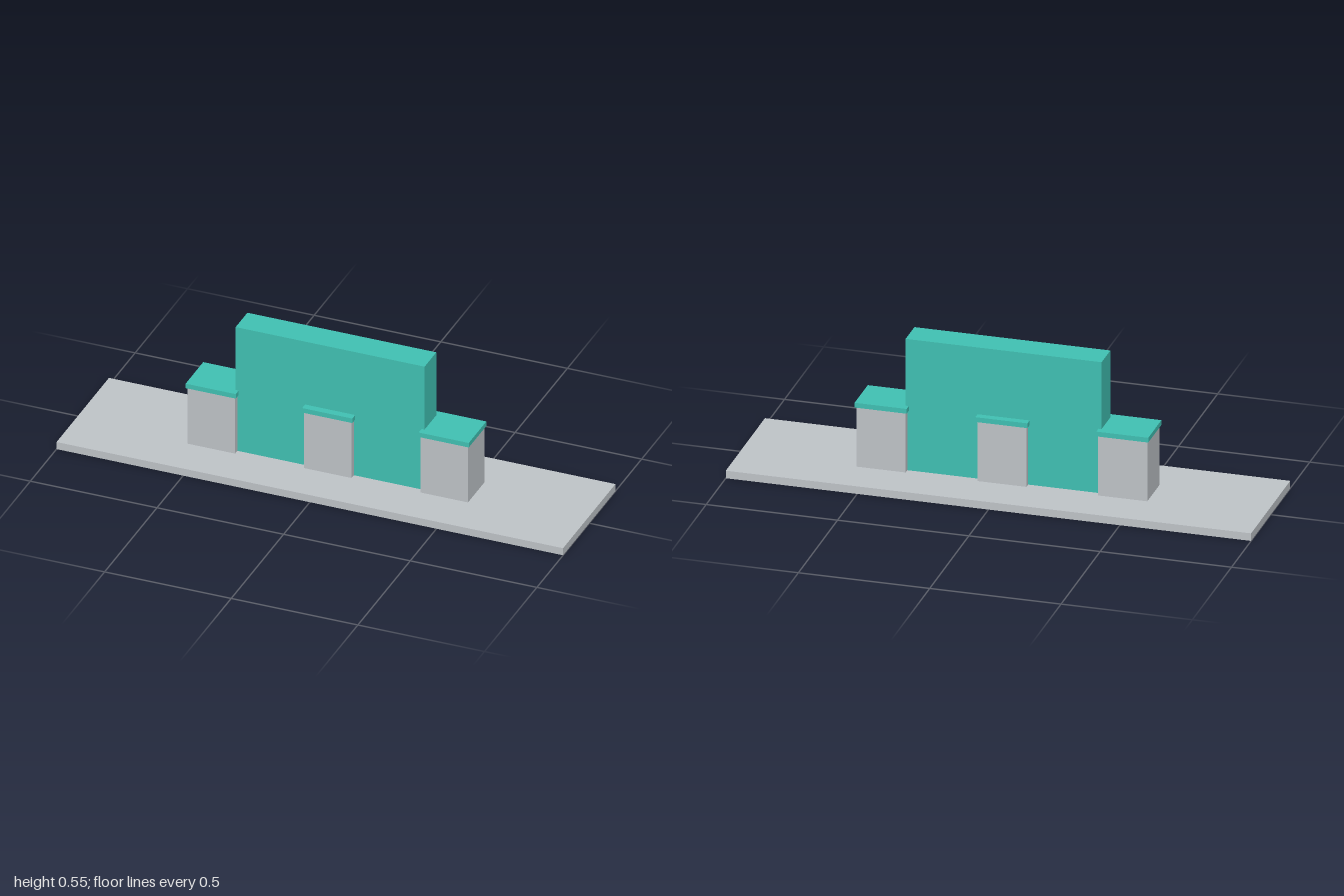
import * as THREE from 'three';

export function createModel() {
  const model = new THREE.Group();
  const stone = new THREE.MeshStandardMaterial({ color: 0xc0c5c9 });
  stone.name = 'grey stone';
  const teal = new THREE.MeshStandardMaterial({ color: 0x41c2b4 });
  teal.name = 'teal';

  // Box placed by the height of its underside
  function addBox(name, material, width, height, depth, x, bottom, parent = model) {
    const mesh = new THREE.Mesh(new THREE.BoxGeometry(width, height, depth), material);
    mesh.name = name;
    mesh.position.set(x, bottom + height / 2, 0);
    parent.add(mesh);
  }

  // Ground slab and upright panel
  addBox('baseSlab', stone, 2, 0.03, 0.5, 0, 0);
  addBox('panel', teal, 0.746, 0.522, 0.112, 0, 0.03);

  // Three capped pillars: one at each end of the panel, one in the middle
  const pillars = { rightPillar: -0.46, middlePillar: 0, leftPillar: 0.46 };
  for (const [name, x] of Object.entries(pillars)) {
    const pillar = new THREE.Group();
    pillar.name = name;
    pillar.position.x = x;
    addBox('pillarShaft', stone, 0.187, 0.237, 0.156, 0, 0.03, pillar);
    addBox('pillarCap', teal, 0.198, 0.019, 0.168, 0, 0.267, pillar);
    model.add(pillar);
  }

  return model;
}
